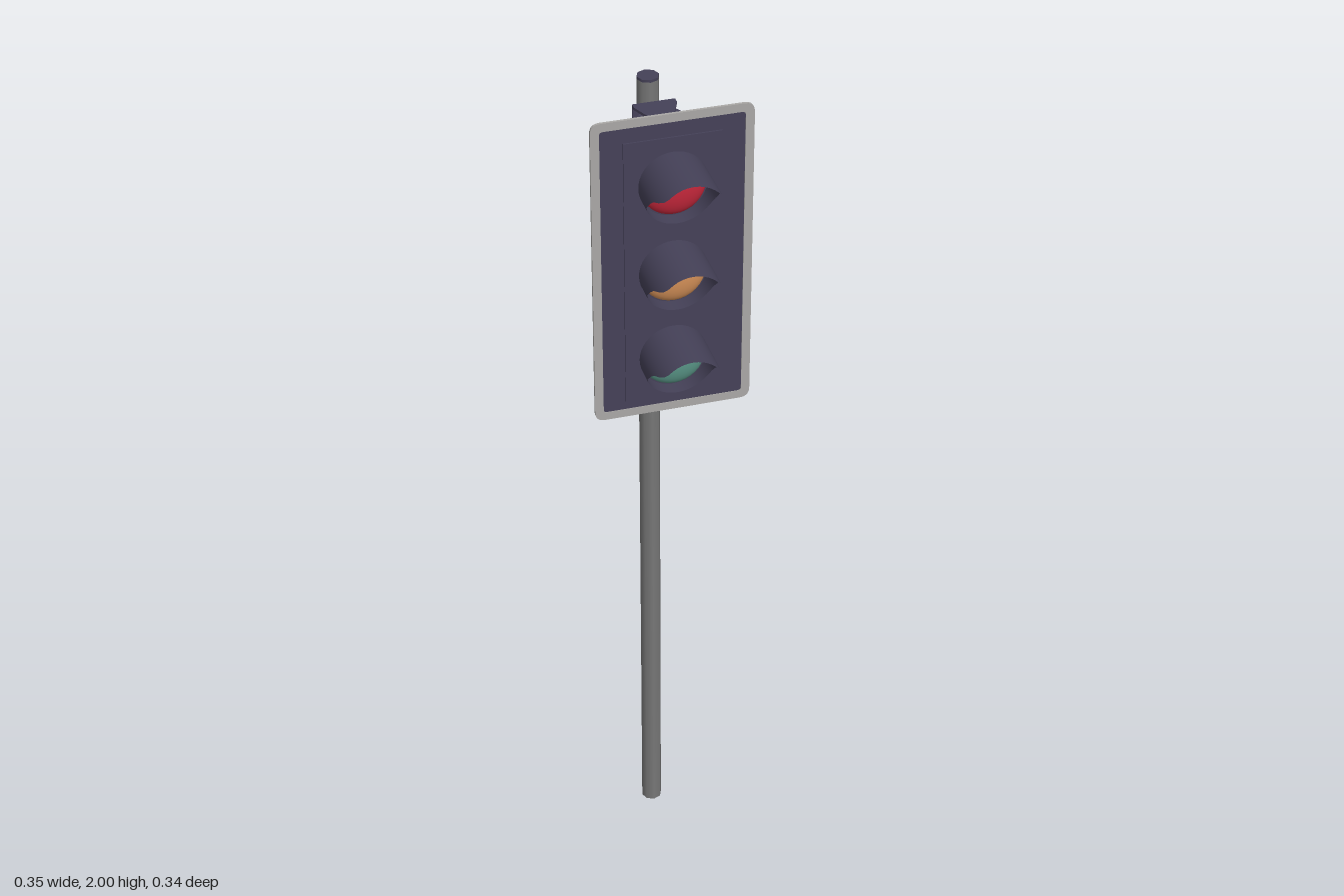
import * as THREE from 'three';

const mat = (color, extra = {}) => new THREE.MeshStandardMaterial({ color, ...extra });

function add(parent, name, geometry, material, x = 0, y = 0, z = 0) {
  const mesh = new THREE.Mesh(geometry, material);
  mesh.name = name;
  mesh.position.set(x, y, z);
  parent.add(mesh);
  return mesh;
}

// Rounded rectangle centred on the origin
function roundedRect(Type, w, h, r) {
  const s = new Type();
  const x = w / 2, y = h / 2;
  s.moveTo(-x + r, -y);
  s.lineTo(x - r, -y);
  s.quadraticCurveTo(x, -y, x, -y + r);
  s.lineTo(x, y - r);
  s.quadraticCurveTo(x, y, x - r, y);
  s.lineTo(-x + r, y);
  s.quadraticCurveTo(-x, y, -x, y - r);
  s.lineTo(-x, -y + r);
  s.quadraticCurveTo(-x, -y, -x + r, -y);
  return s;
}

const extrude = (shape, depth) =>
  new THREE.ExtrudeGeometry(shape, { depth, bevelEnabled: false, curveSegments: 5 });

// Upright prism from an outline of (x, z) points, standing on y = 0
function prism(points, height) {
  const shape = new THREE.Shape(points.map(([x, z]) => new THREE.Vector2(x, -z)));
  return extrude(shape, height).rotateX(-Math.PI / 2);
}

// Tube whose front edge sweeps from a long top to a short bottom
function visorGeometry(radius) {
  const edge = new THREE.CatmullRomCurve3([
    [-0.074, 0.036], [-0.05, 0.04], [-0.02, 0.053], [0.0, 0.073],
    [0.022, 0.097], [0.038, 0.131], [0.05, 0.146], [0.074, 0.147],
  ].map(([y, z]) => new THREE.Vector3(0, y, z))).getPoints(60);
  const reach = (y) => {
    const i = edge.findIndex((p) => p.y >= y);
    if (i < 0) return edge[edge.length - 1].z;
    if (i === 0) return edge[0].z;
    const a = edge[i - 1], b = edge[i];
    return a.z + (b.z - a.z) * (y - a.y) / (b.y - a.y);
  };
  const g = new THREE.CylinderGeometry(radius, radius, 1, 40, 4, true);
  g.rotateX(Math.PI / 2);
  const p = g.attributes.position;
  for (let i = 0; i < p.count; i++) {
    p.setZ(i, (p.getZ(i) + 0.5) * reach(p.getY(i)));
  }
  return g;
}

export function createModel() {
  const model = new THREE.Group();
  model.name = 'trafficLight';
  const dark = mat(0x454158);
  const darkThin = mat(0x454158, { side: THREE.DoubleSide });
  const poleGrey = mat(0x777777);
  const rimGrey = mat(0xaaa8a6);

  // Pole with a dark top
  add(model, 'pole', new THREE.CylinderGeometry(0.024, 0.024, 1.994, 8), poleGrey, -0.005, 0.997, -0.147);
  add(model, 'poleCap', new THREE.CylinderGeometry(0.024, 0.024, 0.006, 8), dark, -0.005, 1.997, -0.147);

  // Backing board and its pale rim
  const midY = 1.637;
  add(model, 'backingBoard', extrude(roundedRect(THREE.Shape, 0.33, 0.705, 0.015), 0.003), dark, 0, midY, 0.0155);
  const rim = roundedRect(THREE.Shape, 0.346, 0.722, 0.022);
  rim.holes.push(roundedRect(THREE.Path, 0.308, 0.684, 0.008));
  add(model, 'boardRim', extrude(rim, 0.006), rimGrey, 0, midY, 0.014);

  // Tapering housing
  add(model, 'housing', prism([
    [-0.105, 0.022], [0.105, 0.022], [0.105, 0.016],
    [0.037, -0.094], [-0.037, -0.094], [-0.105, 0.016],
  ], 0.63), dark, 0, 1.315, 0);

  // Bracket: top and bottom tabs joined by a plate against the pole
  const bracket = new THREE.Group();
  bracket.name = 'bracket';
  model.add(bracket);
  const tab = [[-0.02, -0.045], [0.02, -0.045], [0.046, -0.108],
    [0.046, -0.122], [-0.046, -0.122], [-0.046, -0.108]];
  for (const [name, y] of [['topTab', 1.945], ['bottomTab', 1.309]]) {
    add(bracket, name, prism(tab, 0.006), dark, 0, y, 0);
  }
  add(bracket, 'bracketPlate', new THREE.BoxGeometry(0.092, 0.642, 0.005), dark, 0, 1.63, -0.1195);

  // Three lamps, each a shallow dome under a visor
  const visor = visorGeometry(0.074);
  const dome = new THREE.SphereGeometry(0.07, 32, 10, 0, Math.PI * 2, 0, Math.PI / 2);
  dome.rotateX(Math.PI / 2).scale(1, 1, 0.4);
  const lamps = [['red', 0xc8283c, 1.838], ['amber', 0xd8935a, 1.628], ['green', 0x5c9a8b, 1.418]];
  for (const [name, color, y] of lamps) {
    add(model, name + 'Lamp', dome, mat(color), 0, y, 0.022);
    add(model, name + 'Visor', visor, darkThin, 0, y, 0.021);
  }
  return model;
}
